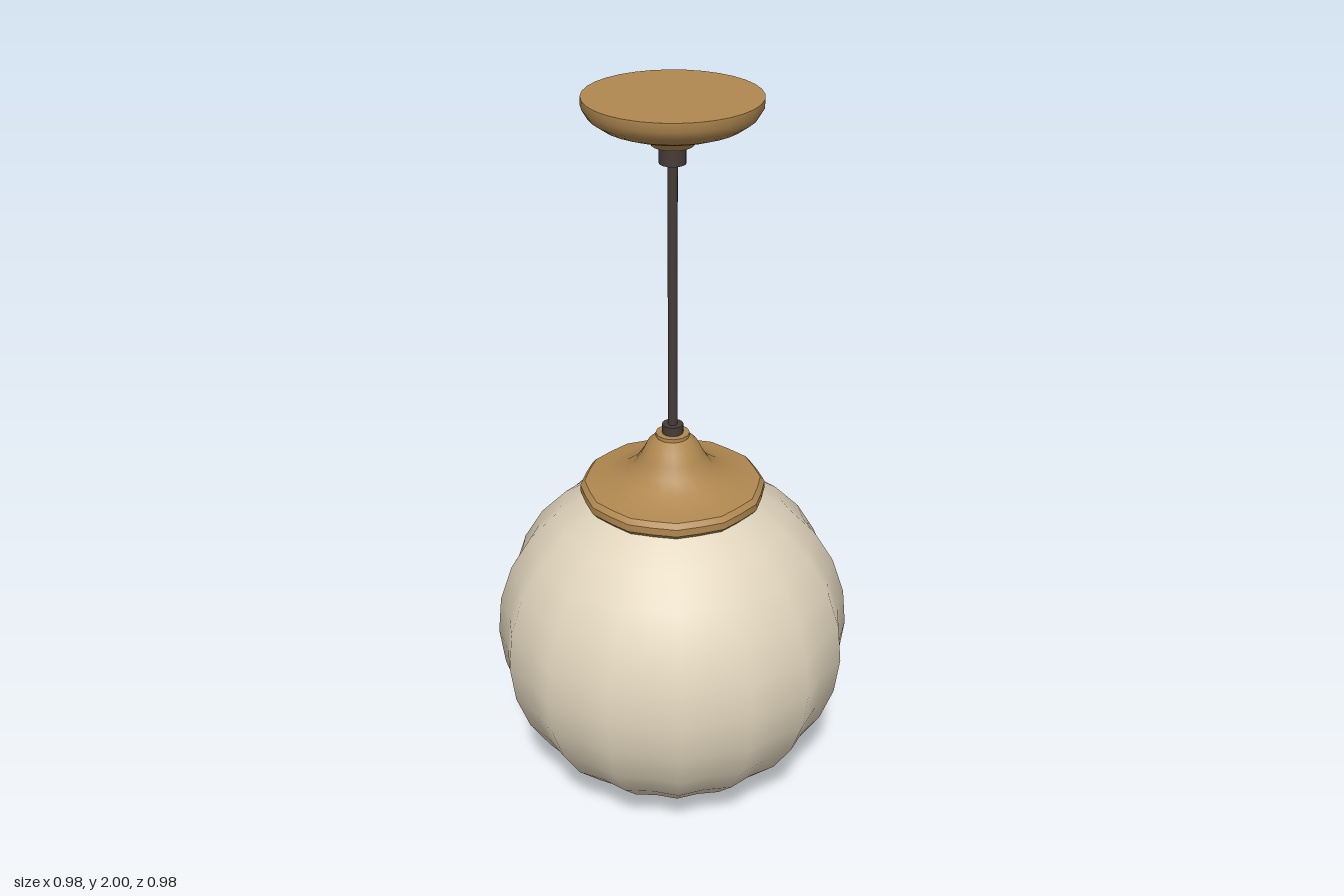
import * as THREE from 'three';
import { toCreasedNormals } from 'three/addons/utils/BufferGeometryUtils.js';

const mat = (name, color) => {
  const m = new THREE.MeshStandardMaterial({ color });
  m.name = name;
  return m;
};

// Pull the surface inwards between evenly spaced lobes around the y axis
function scallop(geometry, lobes, depth) {
  const p = geometry.attributes.position;
  for (let i = 0; i < p.count; i++) {
    const x = p.getX(i), z = p.getZ(i);
    const k = 1 - depth * (1 - Math.cos(lobes * Math.atan2(x, z))) / 2;
    p.setX(i, x * k);
    p.setZ(i, z * k);
  }
  return geometry;
}

// Profiles are [radius, height] pairs, from bottom to top
const lathe = (profile, segments) =>
  new THREE.LatheGeometry(profile.map(([r, y]) => new THREE.Vector2(r, y)), segments);

export function createModel() {
  const group = new THREE.Group();
  const brass = mat('brass', 0xb08850);
  const glass = mat('cream glass', 0xe0d4bc);
  const dark = mat('dark metal', 0x463c38);
  const add = (name, geometry, material) => {
    const mesh = new THREE.Mesh(geometry, material);
    mesh.name = name;
    group.add(mesh);
  };
  const rod = (name, radius, bottom, top, sides) => {
    const g = new THREE.CylinderGeometry(radius, radius, top - bottom, sides);
    add(name, g.translate(0, (top + bottom) / 2, 0), dark);
  };

  // Scalloped globe, open under the cap, keeping its soft round shading
  const globe = [];
  const steps = 12, end = THREE.MathUtils.degToRad(152.5);
  for (let i = 0; i <= steps; i++) {
    const a = end * i / steps;
    globe.push([0.488 * Math.sin(a), 0.482 - 0.482 * Math.cos(a)]);
  }
  add('globe', scallop(lathe(globe, 32), 16, 0.039), glass);

  // Flared cap holding the globe
  const cap = scallop(lathe([
    [0, 0.905], [0.236, 0.905], [0.248, 0.918], [0.248, 0.938], [0.236, 0.951],
    [0.19, 0.957], [0.14, 0.975], [0.105, 1.0], [0.085, 1.03], [0.07, 1.06],
    [0.05, 1.08], [0.045, 1.083], [0.045, 1.093], [0, 1.093],
  ], 24), 12, 0.024);
  add('globeCap', toCreasedNormals(cap, 0.65), brass);

  // Hanging stem with its collars
  rod('lowerCollar', 0.028, 1.09, 1.118, 16);
  rod('stem', 0.0125, 1.1, 1.85, 12);
  rod('upperCollar', 0.034, 1.832, 1.885, 16);

  // Ceiling canopy
  const canopy = lathe([
    [0, 1.879], [0.053, 1.879], [0.06, 1.888], [0.075, 1.902], [0.1, 1.912],
    [0.14, 1.92], [0.18, 1.935], [0.208, 1.955], [0.222, 1.978], [0.222, 2], [0, 2],
  ], 32);
  add('canopy', toCreasedNormals(canopy, 0.65), brass);

  return group;
}
